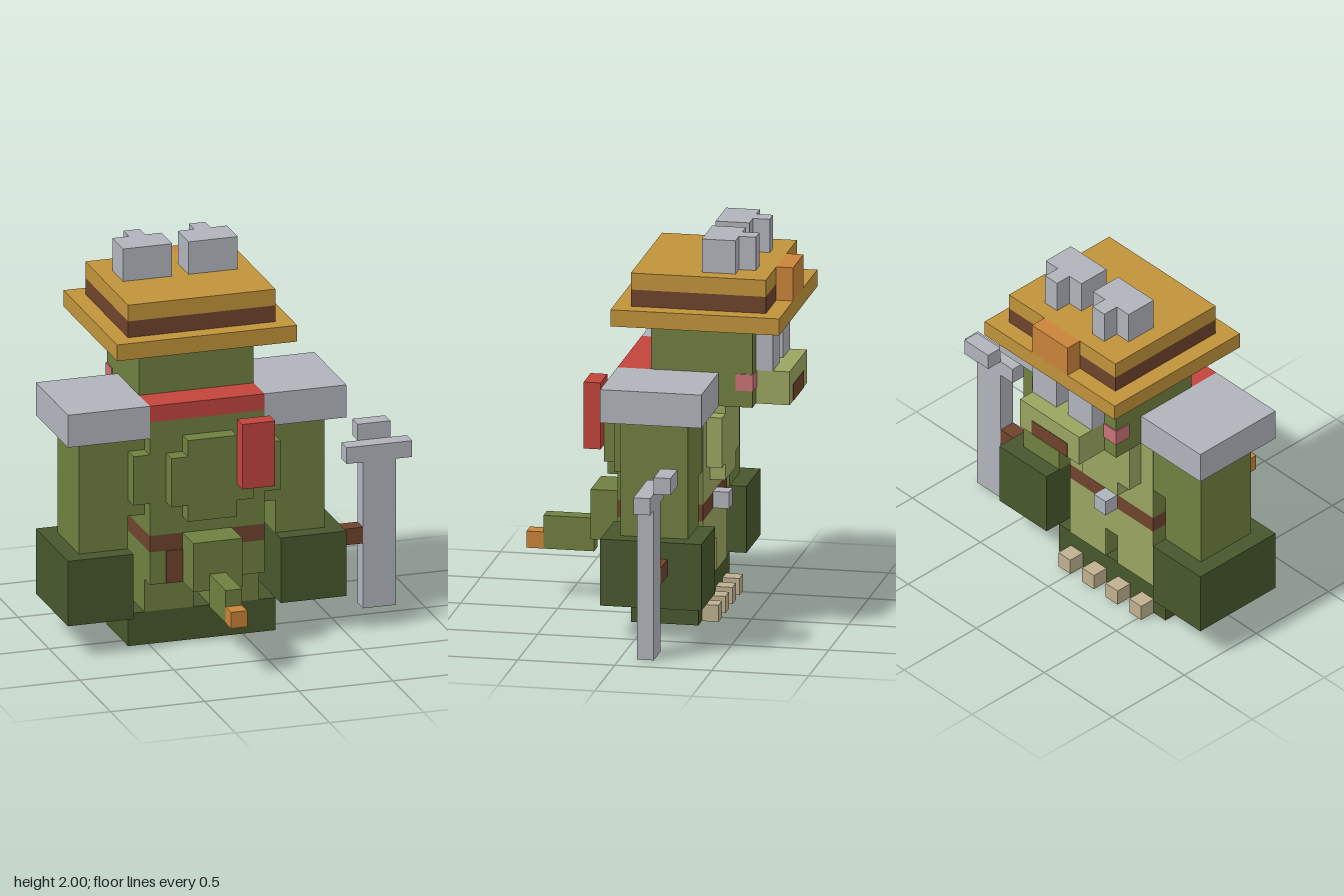
import * as THREE from 'three';

const U = 2 / 23; // one block

const paint = (name, color) => {
  const m = new THREE.MeshStandardMaterial({ color });
  m.name = name;
  return m;
};

export function createModel() {
  const root = new THREE.Group();
  root.name = 'blockCreature';

  const green = paint('green', 0x6f8040);
  const olive = paint('olive', 0x9aa560);
  const darkGreen = paint('darkGreen', 0x48572d);
  const grey = paint('grey', 0xb0b4bb);
  const gold = paint('gold', 0xc0933a);
  const brown = paint('brown', 0x6e432c);
  const orange = paint('orange', 0xc98339);
  const red = paint('red', 0xc2443c);
  const pink = paint('pink', 0xc97277);
  const cream = paint('cream', 0xbfb08f);

  // Box between block coordinates
  const box = (name, mat, [x0, x1], [y0, y1], [z0, z1]) => {
    const mesh = new THREE.Mesh(new THREE.BoxGeometry((x1 - x0) * U, (y1 - y0) * U, (z1 - z0) * U), mat);
    mesh.position.set((x0 + x1) / 2 * U, (y0 + y1) / 2 * U, (z0 + z1) / 2 * U);
    mesh.name = name;
    root.add(mesh);
  };
  // The body's mirror plane is x = -2.5
  const pair = (name, mat, [x0, x1], y, z) => {
    box(name + 'Left', mat, [x0, x1], y, z);
    box(name + 'Right', mat, [-5 - x1, -5 - x0], y, z);
  };
  const T = 0.06; // thickness of painted plates

  // Feet and legs
  box('boots', darkGreen, [-7, 2], [0, 2], [-3, 1]);
  pair('outerClaw', cream, [0, 1], [0, 1], [-4, -3]);
  pair('innerClaw', cream, [-2, -1], [0, 1], [-4, -3]);
  pair('leg', green, [-2, 1], [2, 4], [-3, 1]);
  pair('legFront', olive, [-2, 1], [2, 4], [-3 - T, -3]);

  // Torso stacked around the belt
  box('hips', green, [-6, 1], [4, 6], [-3, 2]);
  box('hipsFront', olive, [-6, 1], [4, 6], [-3 - T, -3]);
  box('belt', brown, [-6, 1], [6, 7], [-3 - T, 2]);
  box('buckle', grey, [-3, -2], [6, 7], [-4, -3]);
  box('beltEnd', brown, [-5, -4], [4, 6], [2, 2 + T]);
  box('torso', green, [-6, 1], [7, 14], [-3, 2]);
  box('torsoFront', olive, [-6, 1], [7, 13], [-3 - T, -3]);

  // Rounded bulges on the sides, chest and back
  pair('sideBulge', green, [1, 2], [9, 12], [-3, 2]);
  pair('sideBulgeTall', green, [1, 1.99], [8, 13], [-2, 1]);
  for (const [name, mat, z] of [['chest', olive, [-4, -3]], ['back', green, [2, 3]]]) {
    box(name + 'Middle', mat, [-4, -1], [8, 13], z);
    pair(name + 'Side', mat, [-1, 0], [9, 12], z);
  }

  // Tail
  box('tailBase', green, [-4, -1], [4, 7], [2, 4]);
  box('tail', green, [-3, -2], [3, 5], [4, 7]);
  box('tailTip', orange, [-3, -2], [3, 4], [7, 8]);

  // Arms
  pair('arm', green, [2, 5], [6, 13], [-3, 1]);
  pair('glove', darkGreen, [2, 6], [2, 6], [-4, 2]);
  pair('shoulderPlate', grey, [1, 6], [13, 15], [-4, 2]);

  // Scarf
  box('scarf', red, [-6, 1], [14, 15], [0, 2]);
  box('scarfTail', red, [-1, 1], [10, 14], [3, 4]);

  // Head
  box('head', green, [-6, 1], [13, 18], [-6, 0]);
  pair('eye', grey, [-2, 0], [15, 18], [-7, -6]);
  box('snout', olive, [-5, 0], [13, 15], [-8, -6]);
  box('mouth', brown, [-4, -1], [13, 14], [-8 - T / 2, -8]);
  pair('cheek', pink, [0, 1 + T], [14, 15], [-6 - T, -5]);

  // Hat with lenses on top
  box('hatBrim', gold, [-8, 3], [18, 19], [-8, 2]);
  box('hatBand', brown, [-7, 2], [19, 20], [-7, 1]);
  box('hatCrown', gold, [-7, 2], [20, 21], [-7, 1]);
  box('hatBadge', orange, [-4, -1], [19, 21], [-8, -7]);
  pair('hatLens', grey, [-2, 1], [21, 23], [-5, -3]);
  pair('hatLensTip', grey, [-1, 0], [21, 23], [-6, -5]);

  // Hand weapon
  box('weaponGrip', brown, [6, 8], [4, 5], [-2, -1]);
  box('weaponShaft', grey, [8, 10], [0, 9], [-2, -1]);
  box('weaponGuard', grey, [7, 11], [9, 10], [-2, -1]);
  box('weaponKnob', grey, [8, 10], [10, 11], [-3, -2]);

  return root;
}
